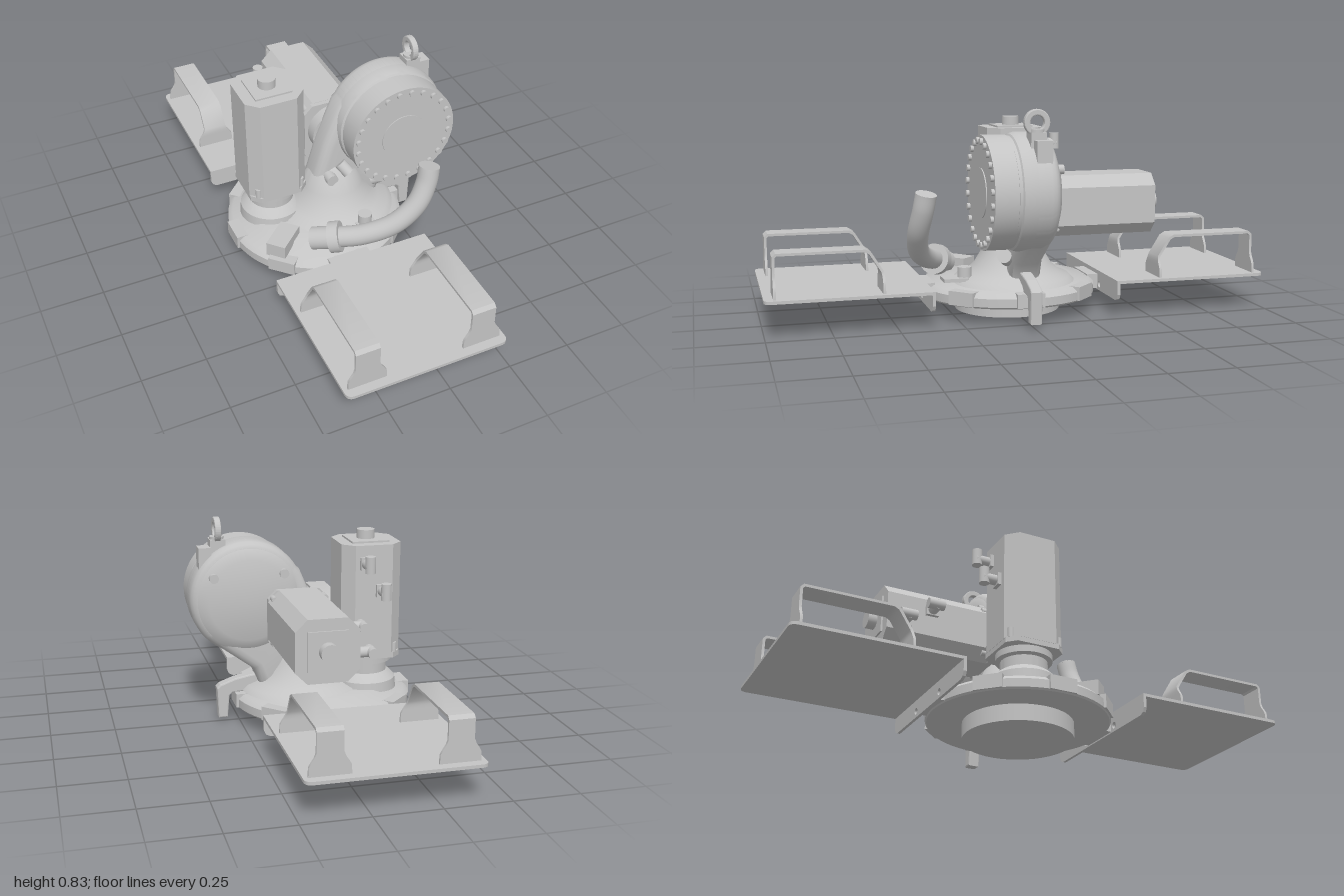
import * as THREE from 'three';
import { toCreasedNormals } from 'three/addons/utils/BufferGeometryUtils.js';

const steel = new THREE.MeshStandardMaterial({ color: 0xc4c4c4 });
steel.name = 'light grey steel';
const V = (x, y, z) => new THREE.Vector3(x, y, z);

function add(parent, name, geo, x = 0, y = 0, z = 0) {
  const m = new THREE.Mesh(geo, steel);
  m.name = name;
  m.position.set(x, y, z);
  parent.add(m);
  return m;
}
const box = (w, h, d) => new THREE.BoxGeometry(w, h, d);
const cyl = (r, h) => new THREE.CylinderGeometry(r, r, h, 40);
const cylZ = (r, h) => cyl(r, h).rotateX(Math.PI / 2);
const shapeOf = pts => new THREE.Shape(pts.map(p => new THREE.Vector2(...p)));
const lathe = pts => toCreasedNormals(
  new THREE.LatheGeometry(pts.map(p => new THREE.Vector2(...p)), 64), 0.6);
const extrude = (shape, depth, opts = {}) =>
  new THREE.ExtrudeGeometry(shape, { depth, bevelEnabled: false, curveSegments: 16, ...opts });

// cylinder running from point a to point b
function rod(parent, name, a, b, r) {
  const d = b.clone().sub(a);
  const m = add(parent, name, cyl(r, d.length()));
  m.position.copy(a).addScaledVector(d, 0.5);
  m.quaternion.setFromUnitVectors(V(0, 1, 0), d.normalize());
}

// square of half size a with its corners cut, standing on y = 0
function octagonal(a, c, h) {
  const s = shapeOf([[-a, -c], [-c, -a], [c, -a], [a, -c], [a, c], [c, a], [-c, a], [-a, c]]);
  return extrude(s, h).rotateX(-Math.PI / 2);
}

// Bent strap handle with flared feet: rectangular sections along outer and inner paths (z, y)
function handleGeometry() {
  const outer = [[.55, .145], [.55, .18], [.55, .195], [.55, .21], [.553, .228], [.598, .3], [.62, .313],
    [.952, .313], [.965, .3], [.965, .228], [.965, .21], [.965, .195], [.965, .18], [.965, .145]];
  const inner = [[.56, .145], [.56, .18], [.56, .195], [.56, .21], [.563, .225], [.607, .294], [.624, .303],
    [.948, .303], [.955, .296], [.955, .228], [.955, .21], [.955, .195], [.955, .18], [.955, .145]];
  const pos = [], index = [];
  outer.forEach((o, i) => {
    const n = inner[i];
    const w = THREE.MathUtils.lerp(.075, .047, THREE.MathUtils.smoothstep(o[1], .17, .23));
    pos.push(-w, o[1], o[0], w, o[1], o[0], w, n[1], n[0], -w, n[1], n[0]);
    if (i) for (let k = 0; k < 4; k++) {
      const a = 4 * i - 4 + k, b = 4 * i - 4 + (k + 1) % 4;
      index.push(a, a + 4, b, b, a + 4, b + 4);
    }
  });
  const g = new THREE.BufferGeometry();
  g.setAttribute('position', new THREE.Float32BufferAttribute(pos, 3));
  g.setIndex(index);
  return toCreasedNormals(g, 0.6);
}

// Side tray: plate, drilled lip and two handles
function tray(name) {
  const g = new THREE.Group();
  g.name = name;
  const w = 0.32, r = 0.03;
  const s = new THREE.Shape();
  s.moveTo(-w, -.365);
  s.lineTo(-w, -1 + r);
  s.quadraticCurveTo(-w, -1, -w + r, -1);
  s.lineTo(w - r, -1);
  s.quadraticCurveTo(w, -1, w, -1 + r);
  s.lineTo(w, -.365);
  add(g, 'trayPlate', extrude(s, 0.012).rotateX(-Math.PI / 2), 0, 0.134, 0);
  const l = shapeOf([[-w, .14], [-w, .09], [-w + .008, .073], [-w + .025, .065],
    [w - .025, .065], [w - .008, .073], [w, .09], [w, .14]]);
  for (const x of [-.107, .107]) {
    const h = new THREE.Path();
    h.absarc(x, .09, .013, 0, Math.PI * 2);
    l.holes.push(h);
  }
  add(g, 'trayLip', extrude(l, 0.012), 0, 0, 0.365);
  add(g, 'trayPad', box(.17, .06, .045), 0, .1, .343);
  for (const x of [-.227, .227]) add(g, 'handle', handleGeometry(), x, 0, 0);
  return g;
}

// Servo motor standing on local y = 0
function motor(name) {
  const g = new THREE.Group();
  g.name = name;
  add(g, 'motorBody', octagonal(.12, .075, .44));
  add(g, 'endCap', box(.15, .008, .15), 0, .443, 0);
  add(g, 'endConnector', cyl(.035, .036), 0, .464, 0);
  add(g, 'mountPlate', octagonal(.119, .085, .022), 0, -.019, 0);
  for (const x of [-.09, .09]) for (const z of [-.1, .1])
    add(g, 'mountBolt', cyl(.012, .04), x, .02, z);
  // elbow connectors
  for (const [x, y] of [[-.03, .26], [.035, .37]]) {
    add(g, 'connectorSocket', box(.045, .05, .02), x, y, -.125);
    rod(g, 'connectorArm', V(x, y, -.11), V(x, y, -.19), .02);
    rod(g, 'connectorEnd', V(x, y - .025, -.182), V(x, y + .04, -.182), .02);
  }
  return g;
}

export function createModel() {
  const root = new THREE.Group();
  root.name = 'robotArmBase';
  const cx = -0.09;

  // Base drum and lugged flange
  add(root, 'baseDrum', cyl(.215, .07), cx, .035, 0);
  add(root, 'baseFlange', lathe([[0, .065], [.35, .065], [.356, .072], [.356, .105], [.337, .122],
    [.27, .132], [.25, .145], [0, .145]]), cx, 0, 0);
  for (let i = 0; i < 8; i++) {
    const t = i * Math.PI / 4;
    const lug = add(root, 'flangeLug', box(.06, .055, .11),
      cx + Math.cos(t) * .331, .0975, Math.sin(t) * .331);
    lug.rotation.y = -t;
  }
  for (const side of [1, -1]) {
    const t = tray(side > 0 ? 'frontTray' : 'rearTray');
    t.position.x = cx;
    if (side < 0) t.rotation.y = Math.PI;
    root.add(t);
  }

  // Flared foot of the arm
  add(root, 'armFoot', lathe([[.25, .13], [.23, .15], [.19, .165], [.155, .2], [.125, .25],
    [.1, .31], [.06, .35], [0, .36]]), -.01, 0, 0);

  // Arm: pear-shaped casting joining foot and head
  const hx = .217, hy = .515, R = .228;
  const arm = new THREE.Shape();
  arm.moveTo(-.13, .15);
  arm.lineTo(-.115, .28);
  arm.lineTo(-.06, .46);
  arm.lineTo(.008, .62);
  arm.absarc(hx, hy, R, 2.6, -.75, true);
  arm.lineTo(.2, .225);
  arm.lineTo(.17, .15);
  const armGeo = extrude(arm, .05, { curveSegments: 40, bevelEnabled: true, bevelThickness: .04,
    bevelSize: .04, bevelOffset: -.04, bevelSegments: 4 });
  add(root, 'arm', toCreasedNormals(armGeo, .7), 0, 0, -.03);

  // Head: gearbox casing, cover and bolt ring
  add(root, 'headCasing', lathe([[0, -.085], [.16, -.085], [.205, -.066], [.22, -.05], [R, -.025],
    [R, .055], [.222, .075], [.215, .08], [.215, .092], [.219, .094], [.219, .185], [0, .185]])
    .rotateX(Math.PI / 2), hx, hy, 0);
  add(root, 'centreCap', cylZ(.095, .006), hx, hy, .186);
  for (let i = 0; i < 24; i++) {
    const t = (i + .5) * Math.PI / 12;
    add(root, 'coverBolt', cylZ(.0125, .016), hx + .198 * Math.cos(t), hy + .198 * Math.sin(t), .189);
  }
  for (const t of [.6, 2.5])
    add(root, 'rearPlug', cylZ(.018, .03), hx + .17 * Math.cos(t), hy + .17 * Math.sin(t), -.08);

  // Lifting eye and stop block on top of the head
  add(root, 'eyeSeat', box(.06, .07, .06), .33, .715, 0);
  add(root, 'eyeNut', cyl(.028, .02), .33, .75, 0);
  const eye = new THREE.Shape().absarc(0, 0, .05, 0, Math.PI * 2);
  eye.holes.push(new THREE.Path().absarc(0, 0, .027, 0, Math.PI * 2));
  add(root, 'liftingEye', extrude(eye, .016, { bevelEnabled: true, bevelThickness: .004, bevelSize: .004,
    bevelOffset: -.004, bevelSegments: 2 }).rotateY(Math.PI / 2), .322, .785, 0);
  add(root, 'stopBlock', box(.05, .1, .06), .382, .672, -.01);

  // Small bosses on the arm
  add(root, 'armBoss', cylZ(.024, .06), -.05, .315, .07);
  rod(root, 'armLug', V(-.005, .37, .07), V(.02, .335, .1), .024);
  rod(root, 'sideStub', V(.14, .24, .06), V(.2, .265, .09), .028);

  // Vertical motor on its drum
  const m1 = motor('verticalMotor');
  m1.position.set(-.255, .29, -.06);
  root.add(m1);
  add(root, 'motorDrum', lathe([[0, .12], [.13, .12], [.125, .17], [.105, .19], [.09, .2], [.09, .24],
    [.108, .245], [.108, .275], [0, .275]]), -.255, 0, -.06);

  // Horizontal motor behind the arm
  const m2 = motor('horizontalMotor');
  m2.quaternion.setFromRotationMatrix(
    new THREE.Matrix4().makeBasis(V(0, -1, 0), V(0, 0, -1), V(1, 0, 0)));
  m2.position.set(.032, .437, -.11);
  root.add(m2);
  add(root, 'motorCollar', cylZ(.105, .08), .032, .437, -.08);

  // Cable hose with collar and its root fitting
  const path = new THREE.CatmullRomCurve3([V(-.14, .2, .285), V(-.04, .23, .35), V(.07, .285, .4),
    V(.155, .365, .415), V(.2, .45, .405), V(.215, .518, .395)]);
  add(root, 'hose', new THREE.TubeGeometry(path, 40, .041, 24));
  const end = path.getPoint(1), dir = path.getTangent(1);
  rod(root, 'hoseEnd', end.clone().addScaledVector(dir, -.004), end, .041);
  rod(root, 'hoseCollar', V(-.145, .198, .28), V(-.11, .208, .302), .062);
  rod(root, 'hoseRoot', V(-.2, .178, .235), V(-.14, .2, .285), .045);
  const block = add(root, 'cableBlock', box(.14, .06, .08), -.3, .15, .17);
  block.rotation.y = .75;

  // Front service plate and post
  add(root, 'servicePlate', box(.08, .014, .1), .04, .153, .25);
  add(root, 'servicePost', cyl(.028, .06), .04, .17, .21);

  // Hanging hook on the side
  const hook = shapeOf([[.14, .2], [.21, .192], [.27, .18], [.33, .158], [.342, .145], [.337, .02],
    [.3, .02], [.292, .11], [.28, .122], [.14, .13]]);
  add(root, 'sideHook', extrude(hook, .034, { bevelEnabled: true, bevelThickness: .006,
    bevelSize: .006, bevelOffset: -.006, bevelSegments: 2 }), 0, 0, -.017);
  return root;
}
